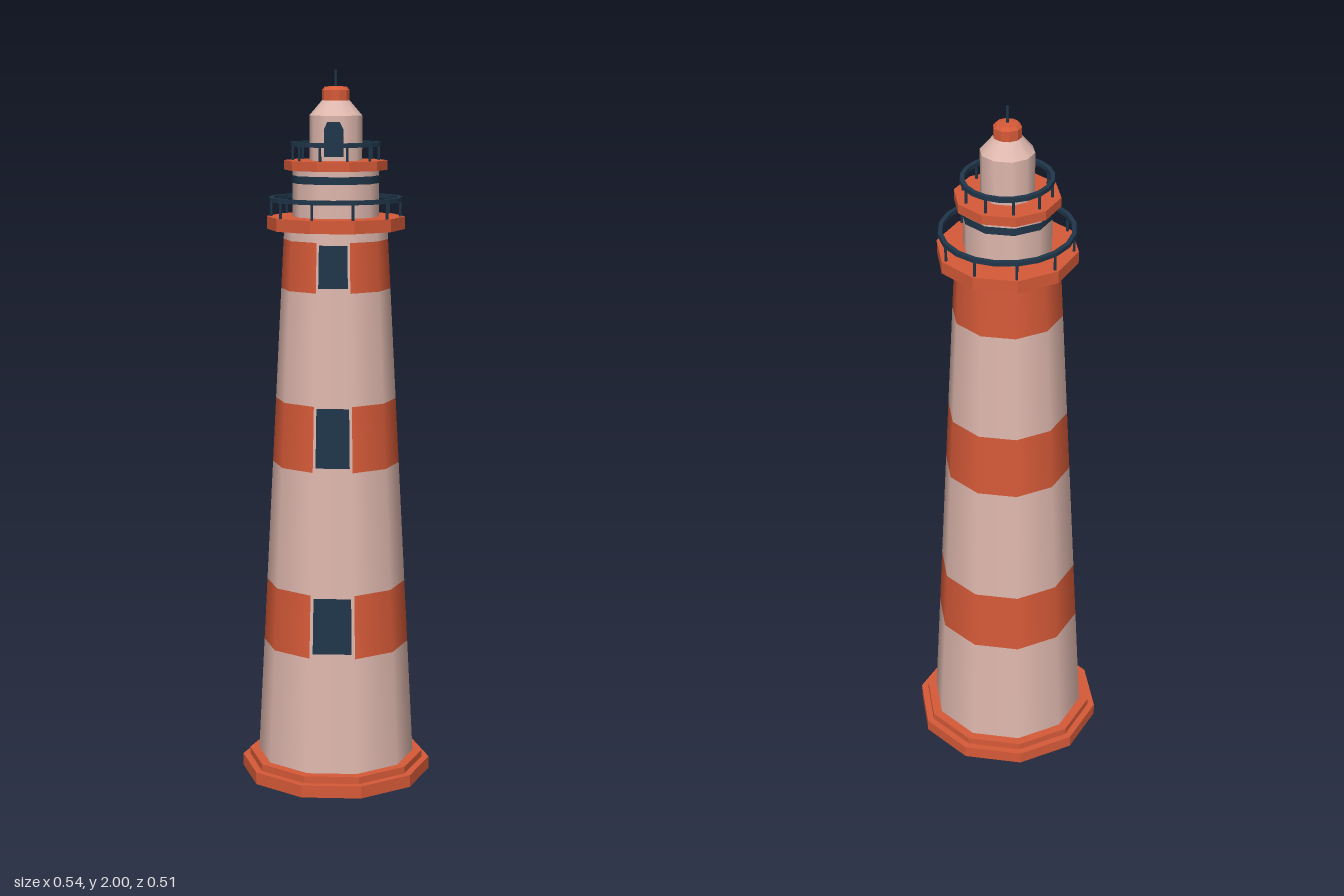
import * as THREE from 'three';

const STEP = Math.PI / 5;      // ten-sided tower
const HALF = STEP / 2;         // puts a flat face to the front

const material = (name, color, side = THREE.FrontSide) => {
  const m = new THREE.MeshStandardMaterial({ color, side });
  m.name = name;
  return m;
};

export function createModel() {
  const model = new THREE.Group();
  model.name = 'lighthouse';
  const pink = material('palePink', 0xdfb8ae, THREE.DoubleSide);
  const orange = material('orangeRed', 0xd65a38, THREE.DoubleSide);
  const navy = material('darkNavy', 0x20364a, THREE.DoubleSide);

  const add = (name, geometry, mat, parent = model) => {
    const mesh = new THREE.Mesh(geometry, mat);
    mesh.name = name;
    parent.add(mesh);
    return mesh;
  };

  // Faceted turned part from [radius, y] points, bottom to top
  const turned = (points, sides = 10) => {
    const g = new THREE.LatheGeometry(points.map(p => new THREE.Vector2(...p)), sides, HALF).toNonIndexed();
    g.computeVertexNormals();
    return g;
  };

  // Smooth wall between two heights, covering some of the ten faces
  const wall = (r0, r1, y0, y1, first = 0, count = 10) =>
    new THREE.CylinderGeometry(r1, r0, y1 - y0, count, 1, true, first * STEP - HALF, count * STEP)
      .translate(0, (y0 + y1) / 2, 0);

  // Stepped hollow base
  add('base', turned([[0.225, 0], [0.27, 0], [0.27, 0.035], [0.25, 0.035], [0.25, 0.055], [0.222, 0.055], [0.225, 0]]), orange);

  // Tapered tower: bands run round nine faces, the front face stays pale
  const radius = y => 0.226 - 0.0525 * y;
  const bands = [[0.384, 0.563], [0.907, 1.09], [1.4, 1.537]];
  const windows = [[0.398, 0.555], [0.92, 1.085], [1.413, 1.53]];
  let from = 0.01;
  for (const [low, high] of bands) {
    add('towerWall', wall(radius(from), radius(low), from, low), pink);
    add('towerBand', wall(radius(low), radius(high), low, high, 1, 9), orange);
    add('windowSurround', wall(radius(low), radius(high), low, high, 0, 1), pink);
    from = high;
  }
  add('towerNeck', wall(radius(from), radius(1.57), from, 1.57), pink);

  // Windows, thin panels on the front face
  for (const [low, high] of windows) {
    const g = wall(radius(low), radius(high), low, high, 0, 1);
    add('window', g.scale(0.86, 1, 1).translate(0, 0, 0.004), navy);
  }

  // Gallery: floor, handrail and ten posts
  const gallery = (name, floorR, y0, y1, railR, railY, floorStretch) => {
    const group = new THREE.Group();
    group.name = name;
    model.add(group);
    add('floor', turned([[0, y0], [floorR, y0], [floorR, y1], [0, y1]]), orange, group).scale.z = floorStretch;
    const a = railR - 0.006, b = railR + 0.006, c = railY - 0.006, d = railY + 0.006;
    add('handrail', turned([[a, c], [b, c], [b, d], [a, d], [a, c]], 20), navy, group).scale.z = 1.065;
    for (let i = 0; i < 10; i++) {
      const post = add('railPost', new THREE.CylinderGeometry(0.004, 0.004, railY - y1, 6), navy, group);
      post.position.set(railR * Math.cos(i * STEP), (railY + y1) / 2, railR * 1.06 * Math.sin(i * STEP));
    }
  };
  gallery('lowerGallery', 0.192, 1.565, 1.6, 0.179, 1.648, 1.04);
  gallery('upperGallery', 0.143, 1.728, 1.754, 0.119, 1.798, 1);

  // Watch room with a dark stripe
  add('watchRoom', wall(0.12, 0.12, 1.6, 1.73), pink);
  add('watchRoomStripe', wall(0.123, 0.123, 1.692, 1.713), navy);

  // Lantern room, sloping roof and cap
  add('lanternRoom', wall(0.073, 0.073, 1.753, 1.876), pink);
  add('lanternRoof', wall(0.073, 0.038, 1.876, 1.917), pink);
  add('roofCap', turned([[0, 1.915], [0.038, 1.915], [0.038, 1.945], [0.03, 1.954], [0, 1.956]]), orange);
  add('mast', new THREE.CylinderGeometry(0.004, 0.004, 0.05, 6).translate(0, 1.975, 0), navy);

  // Door with clipped upper corners
  const door = new THREE.Shape([[-0.029, 1.765], [0.024, 1.765], [0.024, 1.84], [0.014, 1.86], [-0.019, 1.86], [-0.029, 1.84]]
    .map(p => new THREE.Vector2(...p)));
  add('lanternDoor', new THREE.ExtrudeGeometry(door, { depth: 0.006, bevelEnabled: false }).translate(0, 0, 0.067), navy);

  return model;
}
